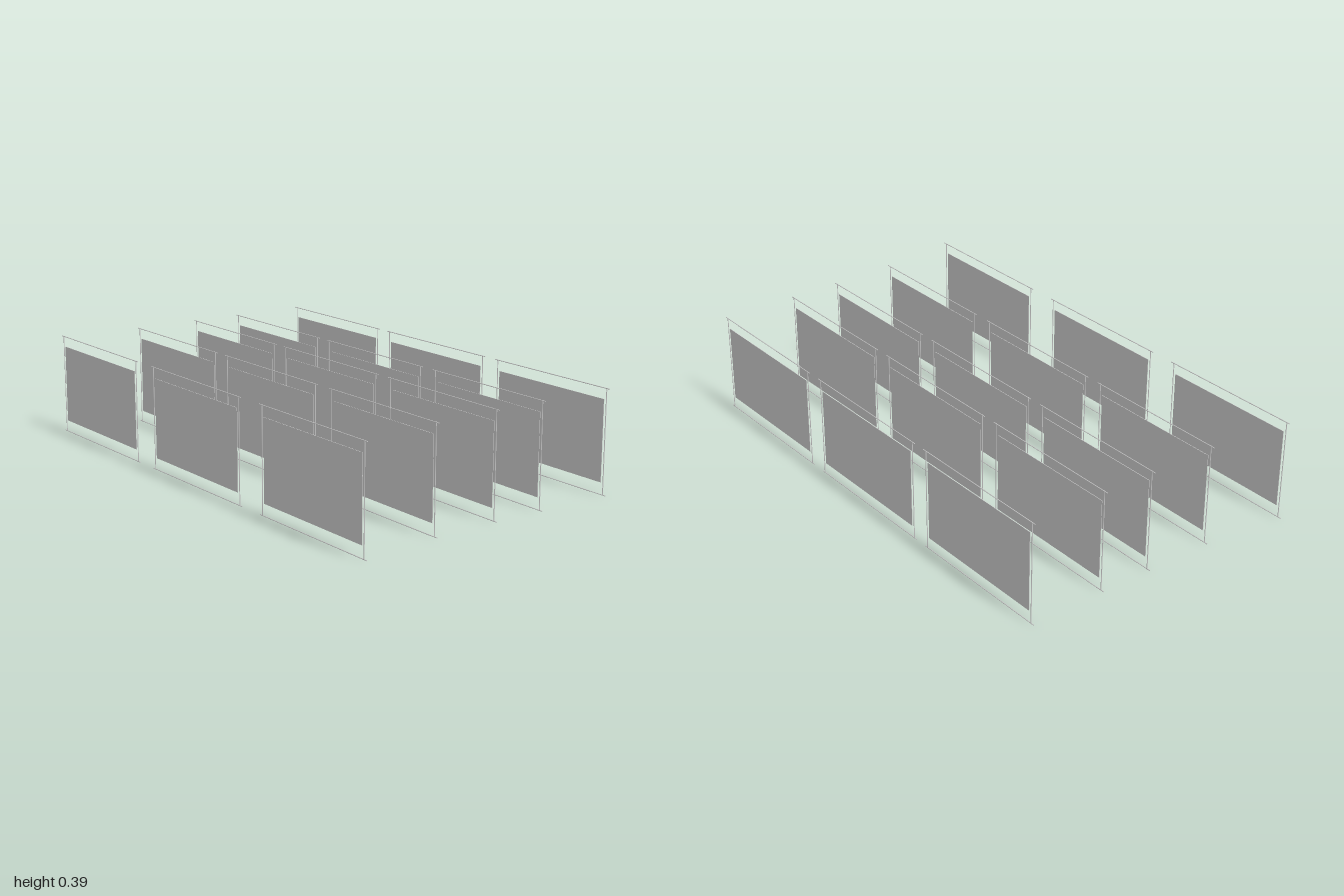
import * as THREE from 'three';

const HEIGHT = 0.392, RAIL = 0.596, POST_X = 0.284, ROD = 0.0017;

export function createModel() {
  const group = new THREE.Group();
  group.name = 'bannerRows';
  const material = new THREE.MeshStandardMaterial({ color: 0xcccccc });

  const panelGeo = new THREE.BoxGeometry(0.546, 0.304, 0.002);
  const railGeo = new THREE.CylinderGeometry(ROD, ROD, RAIL, 8).rotateZ(Math.PI / 2);
  const postGeo = new THREE.CylinderGeometry(ROD, ROD, HEIGHT, 8);

  const add = (parent, name, geo, x, y) => {
    const mesh = new THREE.Mesh(geo, material);
    mesh.name = name;
    mesh.position.set(x, y, 0);
    parent.add(mesh);
  };

  // One sheet hung in a thin rod frame
  const addBanner = (x, z) => {
    const banner = new THREE.Group();
    banner.name = 'framedPanel';
    add(banner, 'panel', panelGeo, 0, 0.198);
    add(banner, 'bottomRail', railGeo, 0, ROD);
    add(banner, 'topRail', railGeo, 0, HEIGHT - ROD);
    add(banner, 'leftPost', postGeo, POST_X, HEIGHT / 2);
    add(banner, 'rightPost', postGeo, -POST_X, HEIGHT / 2);
    banner.position.set(x, 0, z);
    group.add(banner);
  };

  // Five rows of three: [z, right x, left x]
  const rows = [
    [0.553, -0.702, 0.702],
    [0.229, -0.658, 0.658],
    [-0.041, -0.655, 0.647],
    [-0.249, -0.653, 0.647],
    [-0.553, -0.653, 0.647],
  ];
  for (const [z, right, left] of rows) {
    for (const x of [right, -0.007, left]) addBanner(x, z);
  }
  return group;
}
